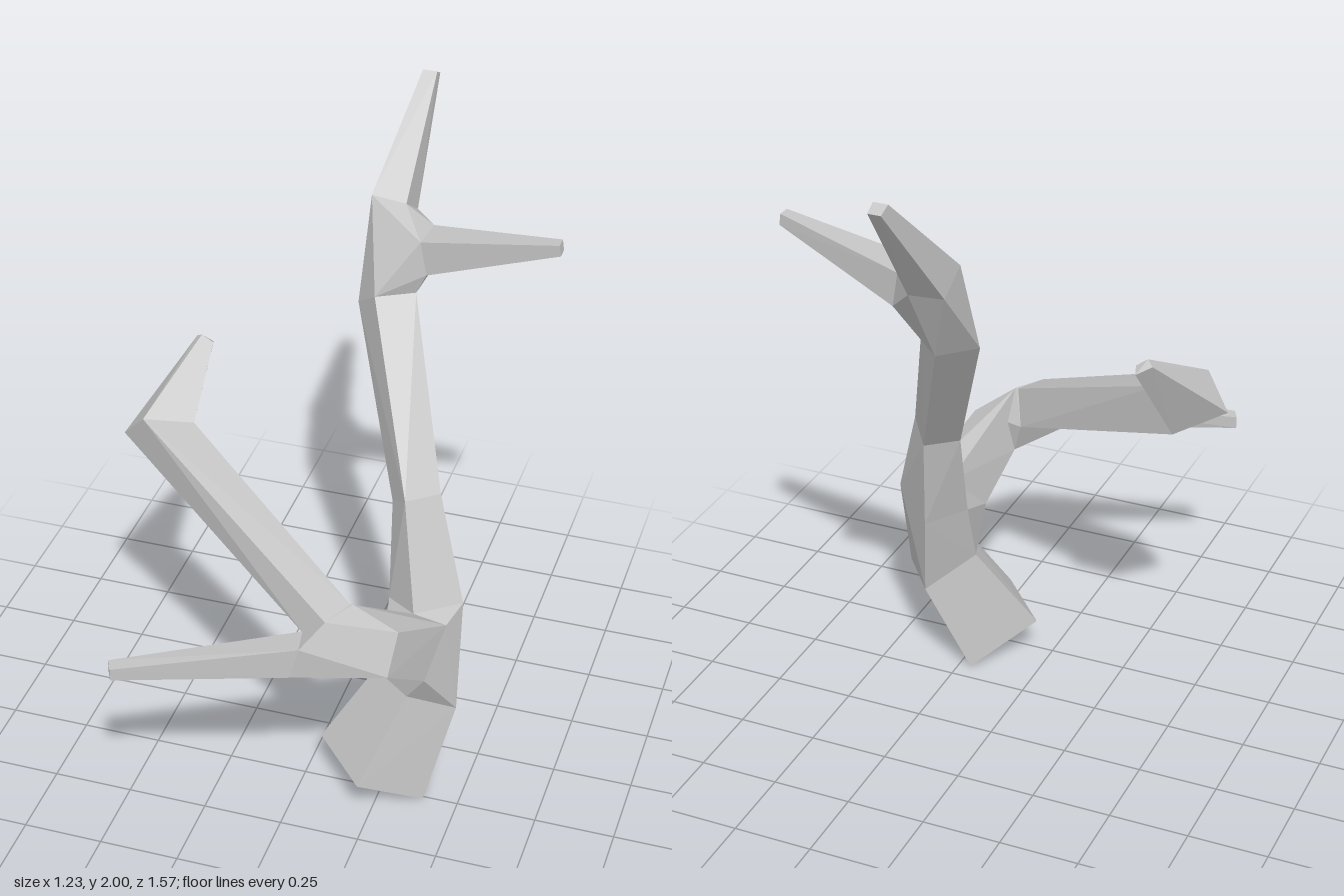
import * as THREE from 'three';
import { ConvexGeometry } from 'three/addons/geometries/ConvexGeometry.js';

// Four-cornered cross-sections of the branch, each corner as [x, y, z]
const R = {
  foot: [[0.04, 0.13, 0.21], [0.22, 0.13, 0.41], [0.39, 0, 0.26], [0.21, 0, 0.06]],
  stump: [[0.21, 0.4, 0.11], [0.33, 0.4, 0.26], [0.46, 0.3, 0.15], [0.34, 0.3, 0]],
  // main stem
  stemLow: [[0.21, 0.6, 0.05], [0.315, 0.63, 0.145], [0.447, 0.637, 0.055], [0.31, 0.58, -0.055]],
  stemMid: [[0.19, 0.9, -0.04], [0.25, 0.96, 0.035], [0.34, 0.955, -0.045], [0.28, 0.9, -0.115]],
  stemTop: [[-0.015, 1.4, -0.34], [0.06, 1.475, -0.26], [0.17, 1.47, -0.33], [0.09, 1.39, -0.42]],
  // twigs at the top of the stem
  topTwig: [[-0.01, 1.71, -0.455], [0.1, 1.7, -0.45], [0.11, 1.635, -0.545], [0, 1.64, -0.54]],
  topTip: [[0.06, 2, -0.75], [0.105, 2, -0.75], [0.105, 1.98, -0.785], [0.065, 1.98, -0.785]],
  leftTwig: [[0.18, 1.645, -0.33], [0.19, 1.645, -0.445], [0.21, 1.535, -0.44], [0.2, 1.535, -0.33]],
  leftTip: [[0.605, 1.715, -0.315], [0.605, 1.715, -0.355], [0.61, 1.68, -0.355], [0.61, 1.68, -0.315]],
  // front arm
  armStart: [[0.315, 0.63, 0.145], [0.42, 0.615, 0.15], [0.39, 0.49, 0.28], [0.25, 0.49, 0.28]],
  armEnd: [[0.21, 0.85, 0.43], [0.34, 0.755, 0.4], [0.33, 0.64, 0.475], [0.2, 0.64, 0.4]],
  // long bough and its upturned end
  bough: [[0.2, 0.85, 0.43], [0.155, 0.845, 0.53], [0.08, 0.775, 0.51], [0.17, 0.74, 0.38]],
  boughBend: [[-0.4, 1.15, 0.09], [-0.53, 1.19, 0.175], [-0.615, 1.09, 0.12], [-0.47, 1.025, 0.04]],
  boughTip: [[-0.405, 1.315, -0.11], [-0.44, 1.34, -0.105], [-0.46, 1.325, -0.12], [-0.415, 1.3, -0.14]],
  // low front twig
  lowTwig: [[0.1, 0.79, 0.61], [0.08, 0.78, 0.51], [0.07, 0.69, 0.53], [0.075, 0.69, 0.62]],
  lowTip: [[-0.42, 0.725, 0.785], [-0.44, 0.725, 0.745], [-0.44, 0.685, 0.745], [-0.42, 0.685, 0.785]],
};

// Each part is the faceted solid spanning the sections it joins
const PARTS = [
  ['base', 'foot', 'stump'],
  ['lowerFork', 'stump', 'stemLow', 'armStart'],
  ['lowerStem', 'stemLow', 'stemMid'],
  ['upperStem', 'stemMid', 'stemTop'],
  ['upperFork', 'stemTop', 'topTwig', 'leftTwig'],
  ['topTwig', 'topTwig', 'topTip'],
  ['leftTwig', 'leftTwig', 'leftTip'],
  ['frontArm', 'armStart', 'armEnd'],
  ['frontFork', 'armEnd', 'bough', 'lowTwig'],
  ['longBough', 'bough', 'boughBend'],
  ['boughEnd', 'boughBend', 'boughTip'],
  ['lowFrontTwig', 'lowTwig', 'lowTip'],
];

export function createModel() {
  const group = new THREE.Group();
  group.name = 'bareBranch';
  const bark = new THREE.MeshStandardMaterial({ color: 0xc4c4c4, flatShading: true });
  bark.name = 'paleGreyBark';
  for (const [name, ...sections] of PARTS) {
    const points = sections.flatMap((s) => R[s]).map((p) => new THREE.Vector3(...p));
    const mesh = new THREE.Mesh(new ConvexGeometry(points), bark);
    mesh.name = name;
    group.add(mesh);
  }
  return group;
}
